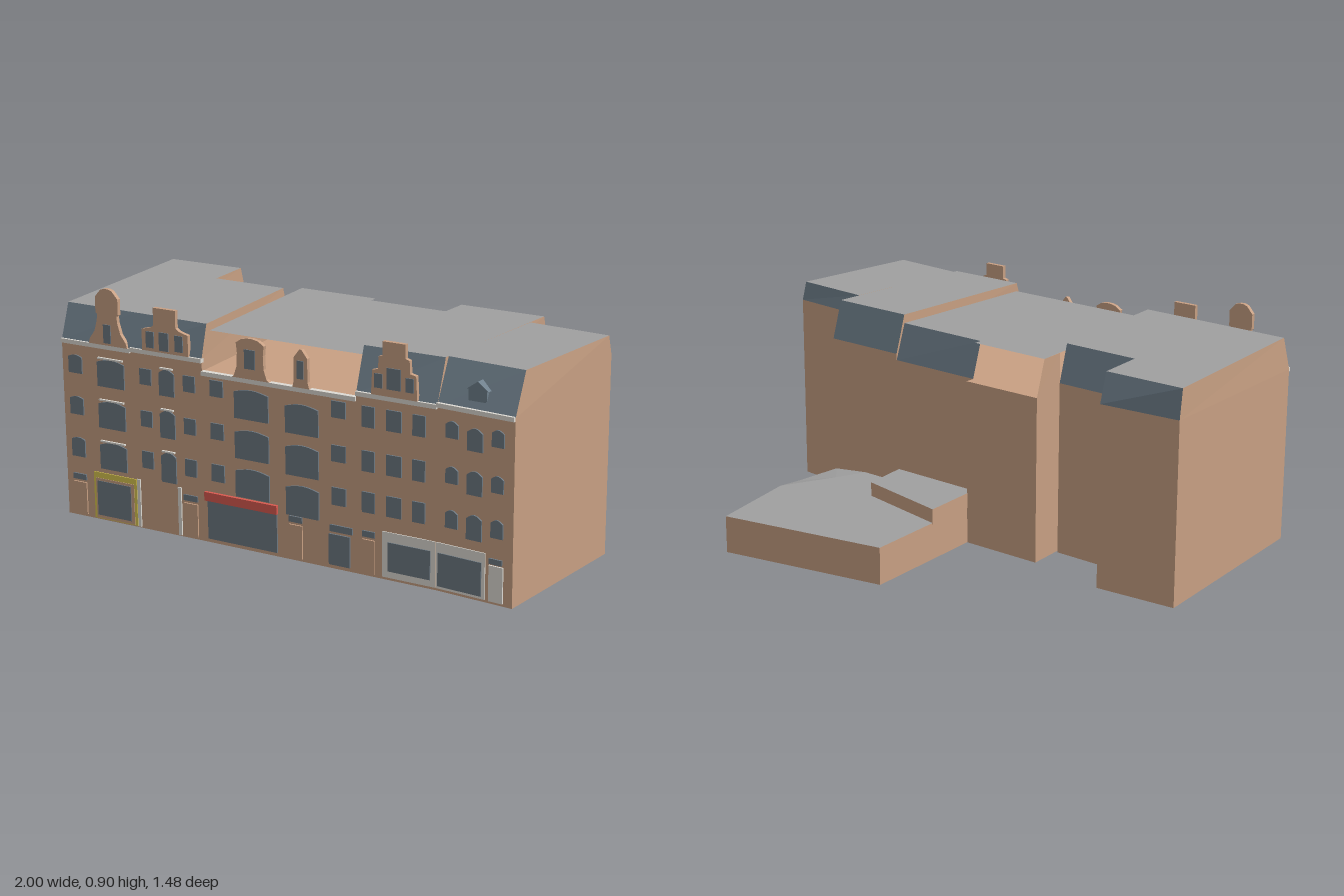
import * as THREE from 'three';

const mat = (name, color, side = THREE.FrontSide) => {
  const m = new THREE.MeshStandardMaterial({ color, side });
  m.name = name;
  return m;
};

export function createModel() {
  const root = new THREE.Group();
  root.name = 'terrace';
  const wall = mat('tan wall', 0xc8a083);
  const slate = mat('slate', 0x6f7f8b, THREE.DoubleSide);
  const roofGrey = mat('flat roof grey', 0xa0a0a0, THREE.DoubleSide);
  const glass = mat('window glass', 0x6c7882);
  const white = mat('white trim', 0xdedbd4);
  const yellow = mat('yellow shopfront', 0xd8c650);
  const red = mat('red shop sign', 0xd95a50);

  // Flat-faced mesh from convex polygons of [x, y, z] corners
  const faces = (name, polys, material, parent = root) => {
    const pos = [];
    for (const p of polys)
      for (let i = 1; i < p.length - 1; i++) pos.push(...p[0], ...p[i], ...p[i + 1]);
    const g = new THREE.BufferGeometry();
    g.setAttribute('position', new THREE.Float32BufferAttribute(pos, 3));
    g.computeVertexNormals();
    const m = new THREE.Mesh(g, material);
    m.name = name;
    parent.add(m);
    return m;
  };
  // Side quads between two rings with the same number of points
  const sides = (lo, hi) => lo.map((p, i) => {
    const j = (i + 1) % lo.length;
    return [p, lo[j], hi[j], hi[i]];
  });
  // Ring of [x, z] points lifted to one height, or one height per point
  const lift = (ring, y) => ring.map(([x, z], i) => [x, Array.isArray(y) ? y[i] : y, z]);

  // House with walls, slate slopes at front and back, wall gables at the sides
  const house = (name, base, eaves, top, topY) => {
    const g = new THREE.Group();
    g.name = name;
    root.add(g);
    const lo = lift(base, 0), mid = lift(base, eaves), hi = lift(top, topY);
    const up = sides(mid, hi);
    faces(name + 'Walls', [...sides(lo, mid), up[1], up[3], lo.slice().reverse()], wall, g);
    faces(name + 'Slopes', [up[0], up[2]], slate, g);
    faces(name + 'Roof', [hi], roofGrey, g);
  };
  house('houseOne', [[-0.93, 0.727], [-0.62, 0.723], [-0.68, -0.122], [-1, -0.095]],
    [0.68, 0.69, 0.7, 0.7], [[-0.93, 0.68], [-0.62, 0.682], [-0.677, -0.085], [-0.998, -0.078]], 0.812);
  house('houseTwo', [[-0.62, 0.723], [-0.31, 0.718], [-0.36, 0.06], [-0.67, 0.06]],
    [0.69, 0.69, 0.67, 0.67], [[-0.62, 0.682], [-0.31, 0.683], [-0.357, 0.105], [-0.667, 0.105]], 0.812);
  house('houseFour', [[0.325, 0.712], [0.64, 0.71], [0.69, -0.042], [0.355, -0.042]],
    [0.66, 0.665, 0.67, 0.67], [[0.325, 0.658], [0.64, 0.653], [0.69, 0.005], [0.355, 0.005]], 0.817);
  house('houseFive', [[0.64, 0.71], [0.94, 0.727], [1, 0.105], [0.685, 0.08]],
    [0.665, 0.67, 0.745, 0.745], [[0.64, 0.635], [0.94, 0.655], [0.998, 0.125], [0.685, 0.105]], 0.817);

  // Middle house: open attic beneath a raised roof sheet
  const midBase = [[-0.31, 0.718], [0.325, 0.712], [0.355, -0.042], [-0.03, -0.042], [-0.03, -0.08], [-0.36, -0.075]];
  const mLo = lift(midBase, 0), mHi = lift(midBase, 0.645);
  faces('middleWalls', [...sides(mLo, mHi), mHi, mLo.slice().reverse()], wall);
  faces('middleRoof', [lift([[-0.31, 0.663], [0.325, 0.658], [0.355, 0.005], [-0.03, 0.002], [-0.03, -0.03], [-0.358, -0.03]], 0.783)], roofGrey);
  faces('middleBackSlope', [[[0.355, 0.645, -0.042], [-0.03, 0.645, -0.042], [-0.03, 0.783, 0.002], [0.355, 0.783, 0.005]]], slate);
  faces('middleSidePanel', [[[-0.36, 0.645, -0.075], [-0.353, 0.645, 0.07], [-0.353, 0.783, 0.07], [-0.358, 0.783, -0.03]]], wall);

  // Low rear extension with a dipped corner, and a raised block on it
  const ext = [[-0.03, -0.04], [0.53, -0.04], [0.69, -0.04], [0.705, -0.25], [0.679, -0.37], [0.6, -0.74], [-0.06, -0.605]];
  const eLo = lift(ext, 0), eHi = lift(ext, [0.145, 0.145, 0.125, 0.125, 0.145, 0.145, 0.145]);
  const dip = [0.58, 0.145, -0.16];
  faces('extensionWalls', [...sides(eLo, eHi), eLo.slice().reverse()], wall);
  faces('extensionRoof', [[eHi[0], eHi[1], dip, eHi[4], eHi[5], eHi[6]], [dip, eHi[1], eHi[2], eHi[3], eHi[4]]], roofGrey);
  const block = [[-0.03, -0.04], [0.35, -0.04], [0.33, -0.225], [-0.045, -0.295]];
  faces('raisedBlockWalls', sides(lift(block, 0.14), lift(block, 0.2)), wall);
  faces('raisedBlockRoof', [lift(block, 0.2)], roofGrey);

  // Facade line: depth and turn at any x
  const line = [[-0.93, 0.727], [-0.31, 0.718], [0.325, 0.712], [0.64, 0.71], [0.94, 0.727]];
  const place = (m, x, out) => {
    let i = 0;
    while (i < 3 && x > line[i + 1][0]) i++;
    const [[xa, za], [xb, zb]] = [line[i], line[i + 1]];
    const s = (zb - za) / (xb - xa);
    m.position.x = x;
    m.position.z = za + s * (x - xa) + out;
    m.rotation.y = -Math.atan(s);
  };
  const plate = (name, x, pts, material, out = 0, depth = 0.006) => {
    const g = new THREE.ExtrudeGeometry(new THREE.Shape(pts.map(p => new THREE.Vector2(...p))), { depth, bevelEnabled: false });
    const m = new THREE.Mesh(g, material);
    m.name = name;
    place(m, x, out);
    root.add(m);
  };
  // Rectangle between x0..x1 and y0..y1, with optional shallow arched head
  const panel = (name, x0, x1, y0, y1, material, out = 0, arch = 0, depth = 0.006) => {
    const w = (x1 - x0) / 2, pts = [[-w, y0], [w, y0]];
    if (arch) for (let k = 0; k <= 6; k++)
      pts.push([w * (1 - k / 3), y1 - arch + arch * Math.sin(Math.PI * k / 6)]);
    else pts.push([w, y1], [-w, y1]);
    plate(name, (x0 + x1) / 2, pts, material, out, depth);
  };

  // Window columns: x range, then y range on each floor, arch height, hood
  const narrow = [[0.56, 0.62], [0.4, 0.46], [0.24, 0.305]];
  const tall = [[0.53, 0.63], [0.37, 0.475], [0.2, 0.315]];
  const right = [[0.545, 0.62], [0.385, 0.46], [0.235, 0.31]];
  const columns = [
    [-0.9, -0.84, [[0.56, 0.63], [0.4, 0.47], [0.235, 0.31]], 0.008],
    [-0.77, -0.65, [[0.525, 0.63], [0.365, 0.47], [0.205, 0.31]], 0.012, true],
    [-0.58, -0.53, narrow, 0], [-0.495, -0.43, tall, 0.015, true], [-0.39, -0.34, narrow, 0],
    [-0.275, -0.22, narrow, 0],
    [-0.172, -0.03, [[0.495, 0.605], [0.345, 0.455], [0.2, 0.31]], 0.012],
    [0.04, 0.175, [[0.475, 0.585], [0.32, 0.435], [0.17, 0.285]], 0.012],
    [0.228, 0.285, narrow, 0],
    [0.35, 0.4, right, 0], [0.447, 0.505, right, 0], [0.548, 0.597, right, 0],
    [0.677, 0.725, narrow, 0.012],
    [0.76, 0.82, [[0.53, 0.61], [0.375, 0.46], [0.215, 0.305]], 0.015],
    [0.855, 0.902, narrow, 0.012],
  ];
  for (const [x0, x1, floors, arch, hood] of columns)
    for (const [y0, y1] of floors) {
      panel('window', x0, x1, y0, y1, glass, 0, arch);
      if (hood) panel('windowHood', x0 + 0.005, x1 - 0.005, y1, y1 + 0.006, white, 0, 0, 0.009);
    }

  // Ground floor: shopfronts and doors
  panel('yellowShopFrame', -0.805, -0.61, 0.005, 0.187, yellow, 0, 0, 0.004);
  panel('yellowShopWall', -0.795, -0.622, 0.008, 0.165, wall, 0, 0, 0.006);
  panel('yellowShopWindow', -0.787, -0.635, 0.02, 0.155, glass, 0, 0, 0.009);
  panel('redShopSign', -0.305, 0.003, 0.162, 0.195, red, 0, 0, 0.012);
  panel('redShopWindow', -0.295, 0, 0.015, 0.16, glass);
  panel('whiteShopFrame', 0.43, 0.638, 0.01, 0.178, white, 0, 0, 0.004);
  panel('whiteShopFrame', 0.642, 0.835, 0.01, 0.178, white, 0, 0, 0.004);
  panel('whiteShopWindow', 0.453, 0.62, 0.035, 0.142, glass, 0, 0, 0.008);
  panel('whiteShopWindow', 0.65, 0.822, 0.02, 0.142, glass, 0, 0, 0.008);
  panel('whiteDoor', 0.85, 0.905, 0.01, 0.14, white);
  panel('whiteDoorLight', 0.85, 0.9, 0.145, 0.165, glass);
  panel('entranceDoor', 0.215, 0.3, 0.015, 0.13, glass);
  panel('entranceDoorLight', 0.22, 0.31, 0.14, 0.165, glass);
  for (const [a, b] of [[-0.9, -0.84], [-0.4, -0.34], [0.05, 0.105], [0.35, 0.4]]) {
    panel('doorLight', a, b, 0.145, 0.167, glass);
    panel('door', a, b, 0.01, 0.135, wall);
  }
  for (const x of [-0.6, -0.418]) panel('pilaster', x - 0.007, x + 0.007, 0.005, 0.19, white);

  // Cornices along the eaves
  for (const [x0, x1, y] of [[-0.93, -0.62, 0.678], [-0.62, -0.31, 0.684], [-0.31, 0.325, 0.639], [0.325, 0.64, 0.66], [0.64, 0.94, 0.667]])
    panel('cornice', x0, x1, y - 0.008, y + 0.008, white, -0.012, 0, 0.02);

  // Decorative gables from half profiles [x, y], mirrored
  const gable = (x, half) =>
    plate('gable', x, [...half, ...half.slice().reverse().map(([a, b]) => [-a, b])], wall, -0.008, 0.016);
  gable(-0.715, [[0.088, 0.68], [0.08, 0.705], [0.058, 0.735], [0.046, 0.775], [0.043, 0.8], [0.05, 0.805], [0.05, 0.865], [0.025, 0.893], [0.008, 0.898]]);
  gable(-0.462, [[0.1, 0.68], [0.1, 0.77], [0.062, 0.78], [0.048, 0.79], [0.048, 0.855]]);
  gable(-0.1, [[0.085, 0.64], [0.068, 0.655], [0.056, 0.69], [0.054, 0.74], [0.058, 0.775], [0.035, 0.79], [0.01, 0.795]]);
  gable(0.108, [[0.036, 0.64], [0.028, 0.67], [0.027, 0.755], [0.012, 0.775], [0.004, 0.785]]);
  gable(0.478, [[0.09, 0.66], [0.085, 0.755], [0.062, 0.76], [0.06, 0.805], [0.044, 0.81], [0.044, 0.86]]);
  for (const [x, w, y0, y1] of [[-0.715, 0.032, 0.695, 0.765], [-0.525, 0.034, 0.705, 0.765], [-0.465, 0.04, 0.7, 0.768],
    [-0.4, 0.034, 0.705, 0.765], [-0.1, 0.044, 0.685, 0.755], [0.108, 0.026, 0.68, 0.745],
    [0.418, 0.03, 0.695, 0.745], [0.478, 0.055, 0.695, 0.77], [0.54, 0.03, 0.695, 0.745]])
    panel('gableWindow', x - w / 2, x + w / 2, y0, y1, glass, 0.006, 0, 0.006);

  // Small pitched dormer on the last house
  plate('dormer', 0.79, [[-0.035, 0.68], [0.035, 0.68], [0.035, 0.737], [0.042, 0.737], [0, 0.767], [-0.042, 0.737], [-0.035, 0.737]], slate, -0.06, 0.045);
  return root;
}
